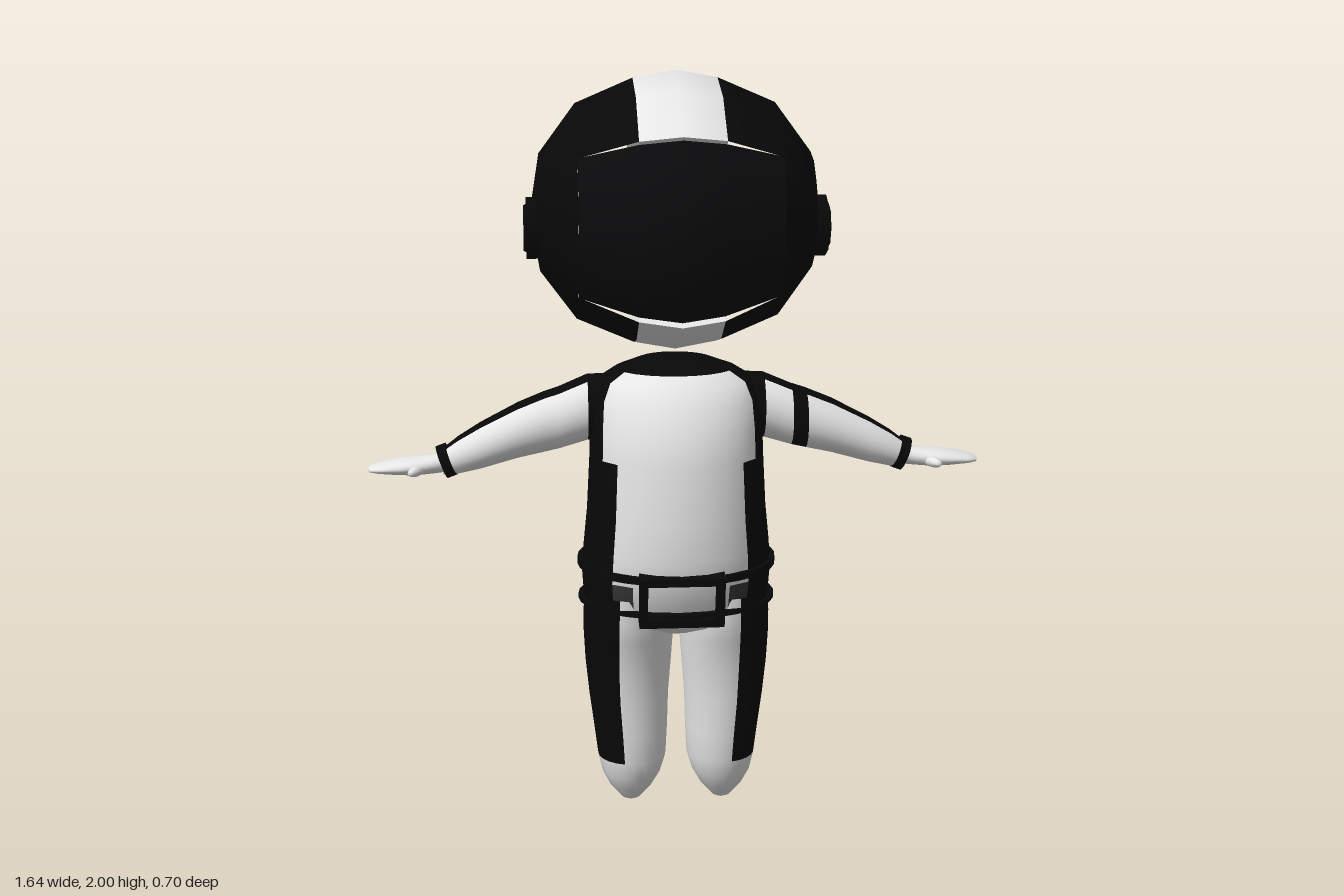
import * as THREE from 'three';

const mat = (name, color) => Object.assign(new THREE.MeshStandardMaterial({ color }), { name });
const rad = THREE.MathUtils.degToRad;

// Skin a grid of points; pick(i, j) gives a material index per cell, or -1 for a hole.
function skin(rows, pick = () => 0, closed = true, flip = false) {
  const n = rows[0].length, buckets = {};
  for (let i = 0; i < rows.length - 1; i++) {
    for (let j = 0; j < (closed ? n : n - 1); j++) {
      const m = pick(i, j);
      if (m < 0) continue;
      const k = (j + 1) % n, a = i * n + j, b = i * n + k, c = a + n, d = b + n;
      (buckets[m] ??= []).push(...(flip ? [a, d, b, a, c, d] : [a, b, d, a, d, c]));
    }
  }
  const g = new THREE.BufferGeometry(), index = [];
  g.setAttribute('position', new THREE.Float32BufferAttribute(rows.flat(2), 3));
  for (const m in buckets) {
    g.addGroup(index.length, buckets[m].length, Number(m));
    index.push(...buckets[m]);
  }
  g.setIndex(index);
  g.computeVertexNormals();
  return g;
}

const SEG = 24, STEP = 360 / SEG;
const around = Array.from({ length: SEG }, (_, j) => rad(j * STEP));
// Angle of the middle of a column, from -180 to 180
const mid = (j) => { const a = (j + 0.5) * STEP; return a > 180 ? a - 360 : a; };
// Elliptical sections stacked along y: [y, cx, cz, rx, rz]
const stackY = (s, side = 1) => s.map(([y, cx, cz, rx, rz]) =>
  around.map((a) => [side * (cx + rx * Math.sin(a)), y, cz + rz * Math.cos(a)]));
// Elliptical sections along x: [x, cy, cz, ry, rz]; angle 0 = front, 90 = below
const stackX = (s, side = 1) => s.map(([x, cy, cz, ry, rz]) =>
  around.map((a) => [side * x, cy - ry * Math.sin(a), cz + rz * Math.cos(a)]));

export function createModel() {
  const model = new THREE.Group();
  const white = mat('suit white', 0xe6e6e6), black = mat('suit black', 0x080808);
  const grey = mat('pouch grey', 0x383838), glass = mat('visor glass', 0x0b0b0d);
  const whiteTwo = mat('helmet stripe white', 0xe6e6e6);
  whiteTwo.side = THREE.DoubleSide;
  const mats = [white, black, grey];
  const add = (name, geo, material, parent = model) => {
    const m = new THREE.Mesh(geo, material);
    m.name = name;
    parent.add(m);
    return m;
  };

  // Torso: white front and back, black flanks and collar, grey pouches at the belt
  const torso = [
    [0.5, 0, 0.035, 0, 0], [0.505, 0, 0.035, 0.11, 0.07], [0.54, 0, 0.035, 0.22, 0.15],
    [0.6, 0, 0.037, 0.25, 0.19], [0.675, 0, 0.045, 0.255, 0.212], [0.75, 0, 0.05, 0.25, 0.22],
    [0.85, 0, 0.052, 0.24, 0.215], [1.0, 0, 0.053, 0.232, 0.205], [1.08, 0, 0.048, 0.23, 0.193],
    [1.15, 0, 0.033, 0.225, 0.175], [1.195, 0, 0.02, 0.205, 0.155], [1.22, 0, 0.005, 0.16, 0.135],
    [1.24, 0, 0, 0.1, 0.1], [1.24, 0, 0, 0, 0]];
  add('torso', skin(stackY(torso), (i, j) => {
    const a = Math.abs(mid(j)), y = torso[i][0];
    if (y >= 1.22 || (y >= 1.19 && a > 90)) return 1;
    if (y === 0.6 && a > 30 && a < 45) return 2;
    return a > (y >= 1.0 ? 60 : 45) && a < 135 ? 1 : 0;
  }), mats);

  // Legs, arms and hands, mirrored
  const leg = [
    [0, 0.125, 0.035, 0, 0], [0.012, 0.125, 0.035, 0.025, 0.025], [0.05, 0.125, 0.035, 0.058, 0.058],
    [0.09, 0.124, 0.035, 0.08, 0.08], [0.14, 0.122, 0.035, 0.093, 0.096], [0.22, 0.125, 0.036, 0.1, 0.102],
    [0.32, 0.13, 0.038, 0.108, 0.108], [0.42, 0.131, 0.04, 0.117, 0.118], [0.5, 0.13, 0.038, 0.122, 0.145],
    [0.56, 0.13, 0.037, 0.122, 0.165], [0.63, 0.13, 0.037, 0.115, 0.17]];
  const arm = [
    [0.17, 1.12, 0.01, 0.085, 0.085], [0.235, 1.115, 0.01, 0.088, 0.085], [0.31, 1.088, 0.011, 0.083, 0.08],
    [0.35, 1.077, 0.011, 0.081, 0.079], [0.42, 1.055, 0.011, 0.074, 0.076], [0.52, 1.015, 0.012, 0.062, 0.064],
    [0.58, 0.99, 0.013, 0.05, 0.05], [0.62, 0.973, 0.013, 0.036, 0.036]];
  const hand = [
    [0.61, 0.973, 0.013, 0.028, 0.028], [0.645, 0.966, 0.012, 0.025, 0.032], [0.69, 0.963, 0.012, 0.025, 0.05],
    [0.74, 0.961, 0.012, 0.021, 0.05], [0.79, 0.958, 0.01, 0.014, 0.044], [0.815, 0.956, 0.01, 0.008, 0.03],
    [0.822, 0.956, 0.01, 0, 0]];
  for (const side of [1, -1]) {
    const label = side > 0 ? 'left' : 'right', flip = side < 0;
    add(label + 'Leg', skin(stackY(leg, side), (i, j) =>
      leg[i][0] >= 0.14 && mid(j) > 15 && mid(j) < 150 ? 1 : 0, true, flip), mats);
    // The left arm alone wears a black band
    add(label + 'Arm', skin(stackX(arm, side), (i, j) =>
      i === 0 || (i === 2 && side > 0) || mid(j) < -60 || mid(j) > 75 ? 1 : 0, true, flip), mats);
    add(label + 'Hand', skin(stackX(hand, side), () => 0, true, flip), mats);
    const thumb = add(label + 'Thumb', new THREE.SphereGeometry(1, 12, 8), white);
    thumb.scale.set(0.016, 0.014, 0.04);
    thumb.position.set(side * 0.69, 0.958, 0.056);
    thumb.rotation.y = side * 0.45;
    const cuff = add(label + 'Cuff', new THREE.CylinderGeometry(0.046, 0.046, 0.026, 16), black);
    cuff.position.set(side * 0.612, 0.975, 0.013);
    cuff.rotation.z = side * (Math.PI / 2 - 0.35);

    // Earpiece: short drum with a raised ring and hub
    const ear = new THREE.Group();
    ear.name = label + 'Earpiece';
    ear.position.set(side * 0.355, 1.6, 0.055);
    ear.rotation.z = -side * Math.PI / 2;
    model.add(ear);
    add('drum', new THREE.CylinderGeometry(0.08, 0.08, 0.07, 8), black, ear);
    const ring = add('ring', new THREE.TorusGeometry(0.055, 0.008, 6, 8), black, ear);
    ring.rotation.x = Math.PI / 2;
    ring.position.y = 0.035;
    add('hub', new THREE.CylinderGeometry(0.03, 0.03, 0.01, 6), glass, ear).position.y = 0.037;
  }

  // Belts: two thin elliptical hoops
  const belt = (name, y, cz, rx, rz, h) => {
    const s = new THREE.Shape().absellipse(0, 0, rx, rz, 0, Math.PI * 2);
    s.holes.push(new THREE.Path().absellipse(0, 0, rx - 0.035, rz - 0.035, 0, Math.PI * 2));
    const m = add(name, new THREE.ExtrudeGeometry(s, { depth: h, bevelEnabled: false, curveSegments: 16 }), black);
    m.rotation.x = -Math.PI / 2;
    m.position.set(0, y, cz);
  };
  belt('upperBelt', 0.69, 0.04, 0.267, 0.234, 0.02);
  belt('lowerBelt', 0.592, 0.036, 0.265, 0.215, 0.012);

  // Buckle: open rectangular frame
  const rect = (P, w, h) => new P().moveTo(-w, -h).lineTo(w, -h).lineTo(w, h).lineTo(-w, h).closePath();
  const frame = rect(THREE.Shape, 0.112, 0.072);
  frame.holes.push(rect(THREE.Path, 0.09, 0.05));
  const buckle = add('buckle', new THREE.ExtrudeGeometry(frame, { depth: 0.04, bevelEnabled: false }), black);
  buckle.position.set(0, 0.648, 0.227);
  buckle.rotation.x = 0.2;

  // Helmet: rings across x, open at the front for the visor
  const CY = 1.633;
  const xs = [0.38, 0.355, 0.26, 0.11, 0, -0.11, -0.26, -0.355, -0.38];
  const fs = [0, 0.42, 0.77, 0.945, 1, 0.945, 0.77, 0.42, 0];
  const angles = [-43, -18, 8, 35, 62, 90, 120, 150, 180, 210, 240, 270, 294];
  const point = (x, f, deg, k = 1) =>
    [x, CY + 0.366 * f * k * Math.sin(rad(deg)), 0.352 * f * k * Math.cos(rad(deg))];
  const lip = (i, deg) => (i > 2 && i < 6 && (deg === 35 || deg === -43) ? 1.05 : 1);
  add('helmet', skin(xs.map((x, i) => angles.map((d) => point(x, fs[i], d, lip(i, d)))), (i, j) => {
    if (i > 1 && i < 6 && j < 3) return -1;
    return i === 3 || i === 4 ? 0 : 1;
  }), [whiteTwo, black]);

  // Visor and the lips joining it to the shell
  const inner = xs.slice(2, 7).map((x, i) => [x, fs[i + 2], i + 2]);
  const visorAngles = Array.from({ length: 9 }, (_, k) => -43 + k * 9.75);
  add('visor', skin(inner.map(([x, f]) => visorAngles.map((d) => point(x, f, d, 1.005))),
    () => 0, false), [glass]);
  for (const d of [35, -43]) {
    const rows = inner.map(([x, f, i]) => [point(x, f, d, 0.99), point(x, f, d, lip(i, d))]);
    add(d > 0 ? 'upperLip' : 'lowerLip', skin(rows, (i) => (i === 1 || i === 2 ? 0 : 1), false, d > 0),
      [whiteTwo, black]);
  }
  return model;
}
